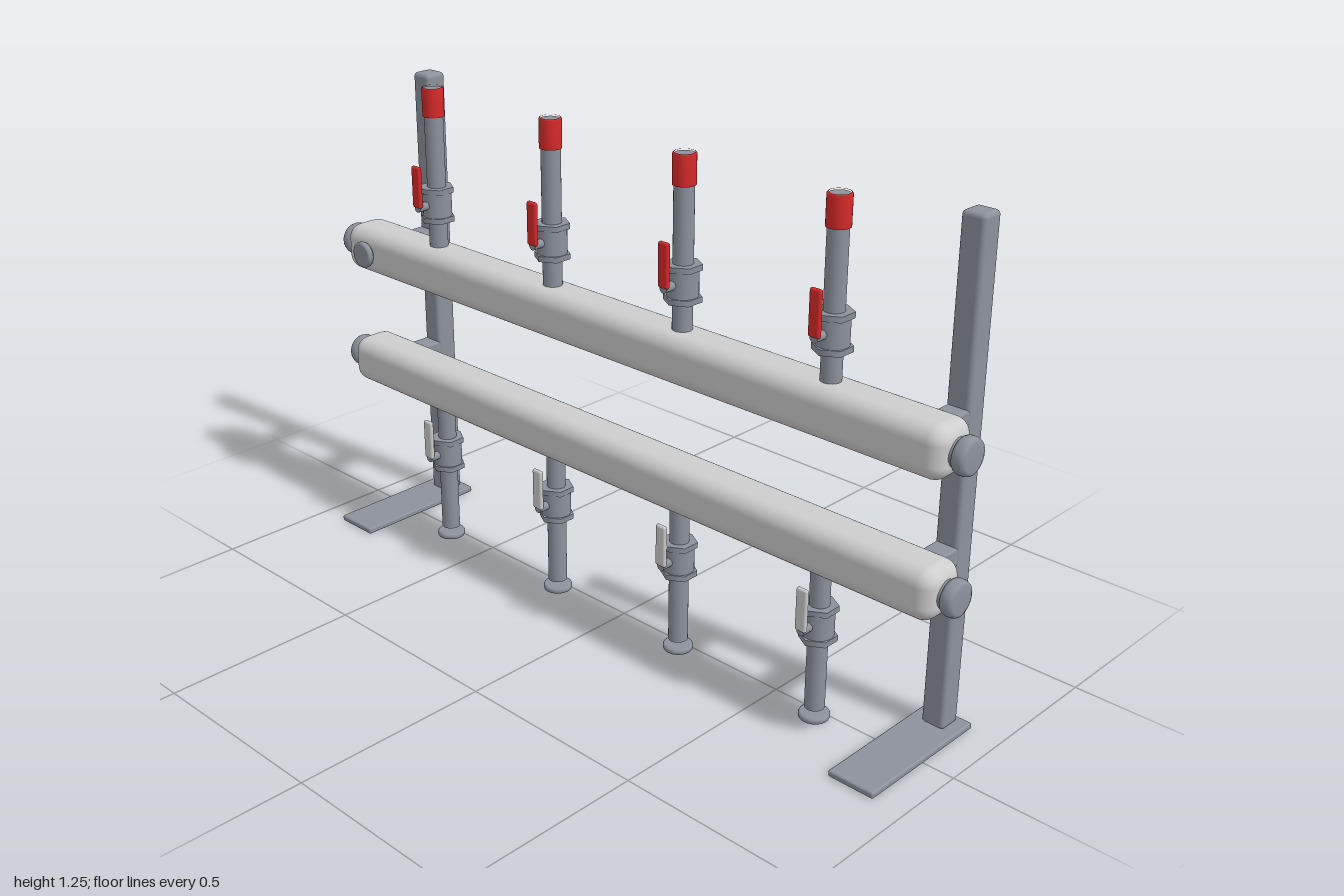
import * as THREE from 'three';
import { RoundedBoxGeometry } from 'three/addons/geometries/RoundedBoxGeometry.js';

export function createModel() {
  const mat = (name, color) => {
    const m = new THREE.MeshStandardMaterial({ color });
    m.name = name;
    return m;
  };
  const steel = mat('steel grey', 0x8c919c);
  const light = mat('light grey', 0xcdcdcd);
  const red = mat('red', 0xd82a2a);

  const model = new THREE.Group();
  model.name = 'manifold';
  const PIPE_Z = 0.026;

  const add = (parent, name, geometry, material, x, y, z) => {
    const mesh = new THREE.Mesh(geometry, material);
    mesh.name = name;
    mesh.position.set(x, y, z);
    parent.add(mesh);
    return mesh;
  };
  const box = (w, h, d, r) => new RoundedBoxGeometry(w, h, d, 3, r);
  const tube = (r, h, sides = 24) => new THREE.CylinderGeometry(r, r, h, sides);

  // Round plug with softened rims, base at the origin, pointing up +y
  const plug = (r, h) => {
    const b = Math.min(0.011, h * 0.35);
    const pts = [[0, 0], [r - b, 0], [r - b * 0.3, b * 0.3], [r, b],
      [r, h - b], [r - b * 0.3, h - b * 0.3], [r - b, h], [0, h]];
    return new THREE.LatheGeometry(pts.map(p => new THREE.Vector2(...p)), 28);
  };

  // Posts, feet and wall brackets
  for (const side of [-1, 1]) {
    const x = side * 0.86;
    add(model, 'foot', box(0.122, 0.016, 0.372, 0.005), steel, x, 0.009, 0);
    add(model, 'post', box(0.06, 1.215, 0.06, 0.011), steel, x, 0.62, -0.144);
    for (const y of [0.779, 0.455]) {
      add(model, 'bracket', box(0.056, 0.047, 0.13, 0.006), steel, x, y, -0.068);
    }
  }

  // Two long headers with end plugs
  for (const y of [0.779, 0.454]) {
    add(model, 'header', new RoundedBoxGeometry(1.922, 0.123, 0.123, 6, 0.038), light, 0, y, PIPE_Z);
    for (const side of [-1, 1]) {
      const end = add(model, 'endPlug', plug(0.043, 0.034), steel, side * 0.966, y, PIPE_Z);
      end.rotation.z = -side * Math.PI / 2;
      const neck = add(model, 'endNeck', tube(0.034, 0.02), steel, side * 0.962, y, PIPE_Z);
      neck.rotation.z = Math.PI / 2;
    }
  }
  const front = add(model, 'frontPlug', plug(0.035, 0.018), steel, -0.865, 0.779, 0.092);
  front.rotation.x = Math.PI / 2;
  const frontNeck = add(model, 'frontNeck', tube(0.026, 0.02), steel, -0.865, 0.779, 0.088);
  frontNeck.rotation.x = Math.PI / 2;

  // Ball valve centred on its own origin, lever to the front
  const makeValve = (leverMaterial) => {
    const valve = new THREE.Group();
    valve.name = 'valve';
    add(valve, 'valveBody', tube(0.037, 0.066), steel, 0, 0, 0);
    for (const s of [-1, 1]) {
      add(valve, 'hexFlange', tube(0.045, 0.014, 6).toNonIndexed(), steel, 0, s * 0.038, 0);
    }
    const stem = add(valve, 'valveStem', tube(0.011, 0.04, 16), steel, 0, 0, 0.045);
    stem.rotation.x = Math.PI / 2;
    add(valve, 'lever', box(0.031, 0.108, 0.012, 0.0058), leverMaterial, 0, 0.055, 0.063);
    return valve;
  };

  // Ring sleeve around the open pipe end
  const sleeveProfile = [[0.0235, 0], [0.0275, 0], [0.0275, 0.07], [0.0255, 0.073], [0.0235, 0.073]];
  const sleeve = new THREE.LatheGeometry(sleeveProfile.map(p => new THREE.Vector2(...p)), 28);

  // Four branches, upper supply and lower return
  for (let i = 0; i < 4; i++) {
    const x = -0.641 + i * 0.425;
    const upper = new THREE.Group();
    upper.name = 'upperBranch';
    upper.position.set(x, 0, PIPE_Z);
    add(upper, 'pipe', tube(0.024, 0.43), steel, 0, 1.035, 0);
    add(upper, 'redSleeve', sleeve, red, 0, 1.18, 0);
    const upperValve = makeValve(red);
    upperValve.position.y = 0.953;
    upper.add(upperValve);

    const lower = new THREE.Group();
    lower.name = 'lowerBranch';
    lower.position.set(x, 0, PIPE_Z);
    add(lower, 'pipe', tube(0.024, 0.38), steel, 0, 0.22, 0);
    add(lower, 'baseDisc', plug(0.037, 0.016), steel, 0, 0.001, 0);
    const lowerValve = makeValve(light);
    lowerValve.position.y = 0.254;
    lower.add(lowerValve);

    model.add(upper, lower);
  }

  return model;
}
